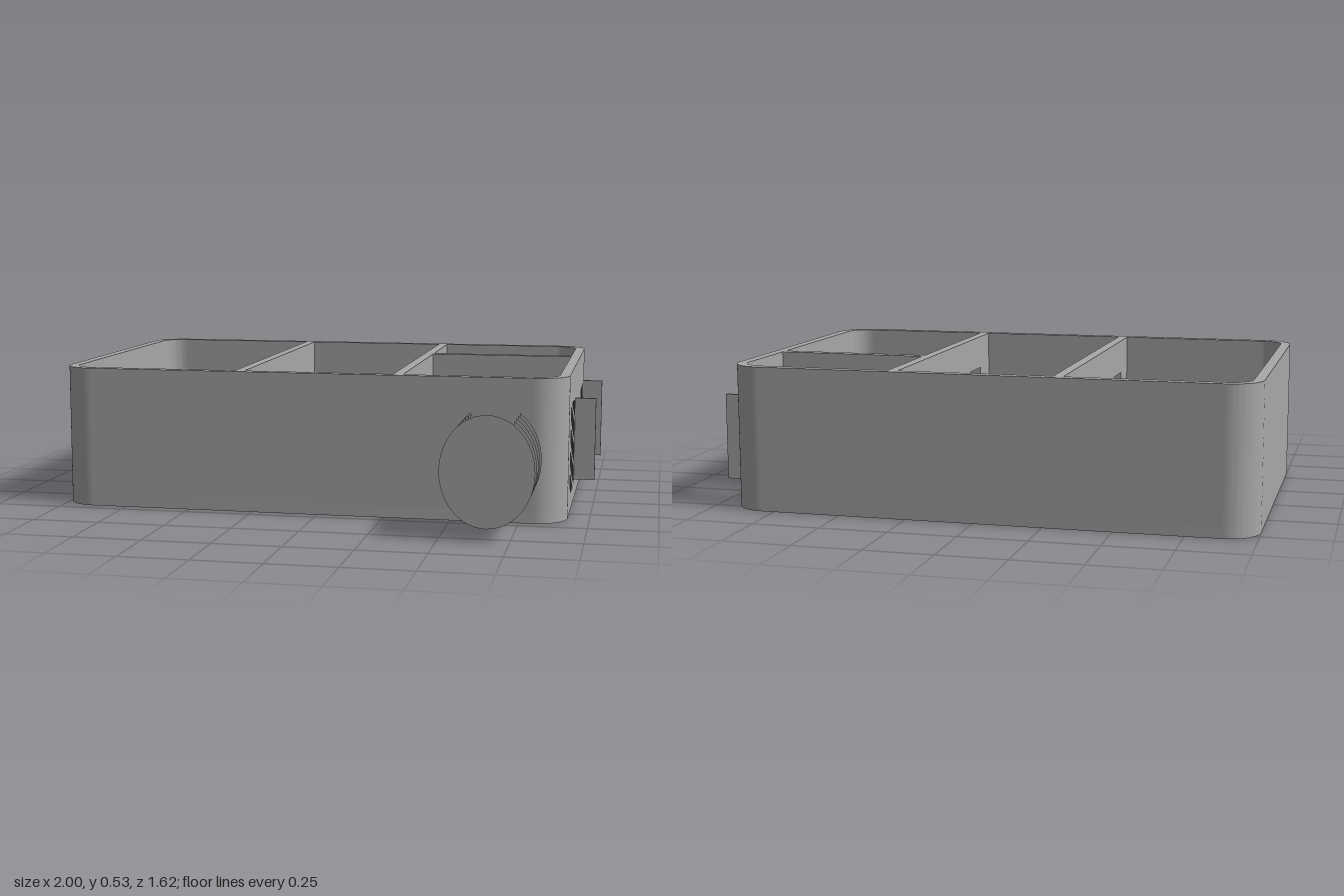
import * as THREE from 'three';
import { toCreasedNormals } from 'three/addons/utils/BufferGeometryUtils.js';

const H = 0.53, FLOOR = 0.04, T = 0.037, R = 0.12;
const X0 = -1, X1 = 0.92, Z0 = -0.81, Z1 = 0.455;

export function createModel() {
  const group = new THREE.Group();
  const grey = new THREE.MeshStandardMaterial({ color: 0xa8a8a8 });
  grey.name = 'grey plastic';

  function add(name, geometry) {
    const mesh = new THREE.Mesh(geometry, grey);
    mesh.name = name;
    group.add(mesh);
    return mesh;
  }
  function block(name, x0, x1, y0, y1, z0, z1) {
    const g = new THREE.BoxGeometry(x1 - x0, y1 - y0, z1 - z0);
    add(name, g).position.set((x0 + x1) / 2, (y0 + y1) / 2, (z0 + z1) / 2);
  }
  function rectPath(P, u0, u1, y0, y1) {
    const p = new P();
    p.moveTo(u0, y0);
    p.lineTo(u1, y0);
    p.lineTo(u1, y1);
    p.lineTo(u0, y1);
    p.closePath();
    return p;
  }
  const windowHole = (u0, u1, y0, y1) => rectPath(THREE.Path, u0, u1, y0, y1);
  function slotHole(u) {
    const r = 0.014, lo = 0.062 + r, hi = 0.406 - r;
    const p = new THREE.Path();
    p.moveTo(u + r, lo);
    p.lineTo(u + r, hi);
    p.absarc(u, hi, r, 0, Math.PI, false);
    p.lineTo(u - r, lo);
    p.absarc(u, lo, r, Math.PI, Math.PI * 2, false);
    return p;
  }
  // Upright panel lying along x, from z to z + T
  function panelX(name, x0, x1, z, holes = []) {
    const s = rectPath(THREE.Shape, x0, x1, FLOOR, H);
    s.holes = holes;
    add(name, new THREE.ExtrudeGeometry(s, { depth: T, bevelEnabled: false })).position.z = z;
  }
  // Upright panel lying along z, from x to x + T; holes are given in u = -z
  function panelZ(name, z0, z1, x, holes = []) {
    const s = rectPath(THREE.Shape, -z1, -z0, FLOOR, H);
    s.holes = holes;
    const g = new THREE.ExtrudeGeometry(s, { depth: T, bevelEnabled: false, curveSegments: 8 });
    add(name, g.rotateY(Math.PI / 2)).position.x = x;
  }

  // Floor slab with rounded corners
  const cs = [
    [X1 - R, -Z0 - R, 0], [X0 + R, -Z0 - R, 1],
    [X0 + R, -Z1 + R, 2], [X1 - R, -Z1 + R, 3],
  ];
  const slab = new THREE.Shape();
  cs.forEach(([x, y, q]) => slab.absarc(x, y, R, q * Math.PI / 2, (q + 1) * Math.PI / 2, false));
  slab.closePath();
  const slabGeo = new THREE.ExtrudeGeometry(slab, { depth: FLOOR, bevelEnabled: false, curveSegments: 12 });
  add('floor', toCreasedNormals(slabGeo.rotateX(-Math.PI / 2), 0.6));

  // Rounded wall corners
  cs.forEach(([x, y, q]) => {
    const a = q * Math.PI / 2, b = a + Math.PI / 2;
    const s = new THREE.Shape();
    s.absarc(x, y, R, a, b, false);
    s.absarc(x, y, R - T, b, a, true);
    s.closePath();
    const g = new THREE.ExtrudeGeometry(s, { depth: H - FLOOR, bevelEnabled: false, curveSegments: 12 });
    add('wallCorner', toCreasedNormals(g.rotateX(-Math.PI / 2), 0.6)).position.y = FLOOR;
  });

  // Outer walls, with vent slots on the left side and a cable opening in front
  const slots = [];
  for (let i = 0; i < 6; i++) slots.push(slotHole(-0.2 + i * 0.04));
  for (let i = 0; i < 4; i++) slots.push(slotHole(0.495 + i * 0.04));
  panelX('backWall', X0 + R, X1 - R, Z0);
  panelX('frontWall', X0 + R, X1 - R, Z1 - T, [windowHole(0.615, 0.75, 0.13, 0.33)]);
  panelZ('rightWall', Z0 + R, Z1 - R, X0);
  panelZ('ventedWall', Z0 + R, Z1 - R, X1 - T, slots);

  // Compartment dividers with pass-through windows
  const front = () => windowHole(-0.29, -0.14, 0.15, 0.4);
  panelZ('divider', Z0 + T, Z1 - T, -0.32, [front()]);
  panelZ('divider', Z0 + T, Z1 - T, 0.28, [front(), windowHole(0.535, 0.69, 0.15, 0.4)]);
  panelX('crossDivider', 0.28 + T, X1 - T, -0.382);

  // Raised blocks standing on the floor
  block('largeBlock', -0.875, -0.345, FLOOR, 0.15, -0.73, 0.365);
  block('middleBlock', -0.13, 0.11, FLOOR, 0.1, -0.435, 0.12);
  block('backBlock', 0.355, 0.825, FLOOR, 0.23, -0.695, -0.4);
  block('postBase', 0.43, 0.72, FLOOR, 0.08, -0.15, 0.11);
  add('post', new THREE.CylinderGeometry(0.08, 0.08, 0.16, 32)).position.set(0.575, 0.16, -0.02);

  // Fins beside the vents
  for (const z of [-0.045, -0.643]) block('ventFin', X1 - 0.005, 1, 0.08, 0.4, z - 0.008, z + 0.008);

  // Barbed hose nozzle: lofted elliptical sections with a channel cut from the top
  const CX = 0.67, CY = 0.245, N = 48, step = 0.07;
  function section(rx, ry, z) {
    const a = Math.acos(0.085 / rx), b = Math.acos(-0.09 / rx) - Math.PI * 2;
    const pts = [];
    for (let i = 0; i <= N; i++) {
      const t = a + (b - a) * i / N;
      pts.push([CX + rx * Math.cos(t), CY + ry * Math.sin(t), z]);
    }
    pts.push([CX - 0.09, 0.13, z], [CX + 0.085, 0.13, z]);
    return pts;
  }
  const loops = [];
  for (let i = 0; i < 4; i++) {
    loops.push(section(0.14, 0.167, Z1 + i * step), section(0.165, 0.197, Z1 + (i + 1) * step));
  }
  loops.push(section(0.14, 0.167, Z1 + 4 * step));
  const pos = [];
  for (let i = 0; i < loops.length - 1; i++) {
    const n = loops[i].length;
    for (let j = 0; j < n; j++) {
      const k = (j + 1) % n;
      const a = loops[i][j], b = loops[i][k], c = loops[i + 1][j], d = loops[i + 1][k];
      pos.push(...a, ...c, ...b, ...b, ...c, ...d);
    }
  }
  const barbs = new THREE.BufferGeometry();
  barbs.setAttribute('position', new THREE.Float32BufferAttribute(pos, 3));
  add('nozzleBarbs', toCreasedNormals(barbs, 0.6));

  // Closed end of the nozzle
  const tip = new THREE.CylinderGeometry(1, 0.85, step, 48).rotateX(Math.PI / 2).scale(0.165, 0.197, 1);
  add('nozzleTip', tip).position.set(CX, CY, Z1 + 4.5 * step);

  return group;
}
